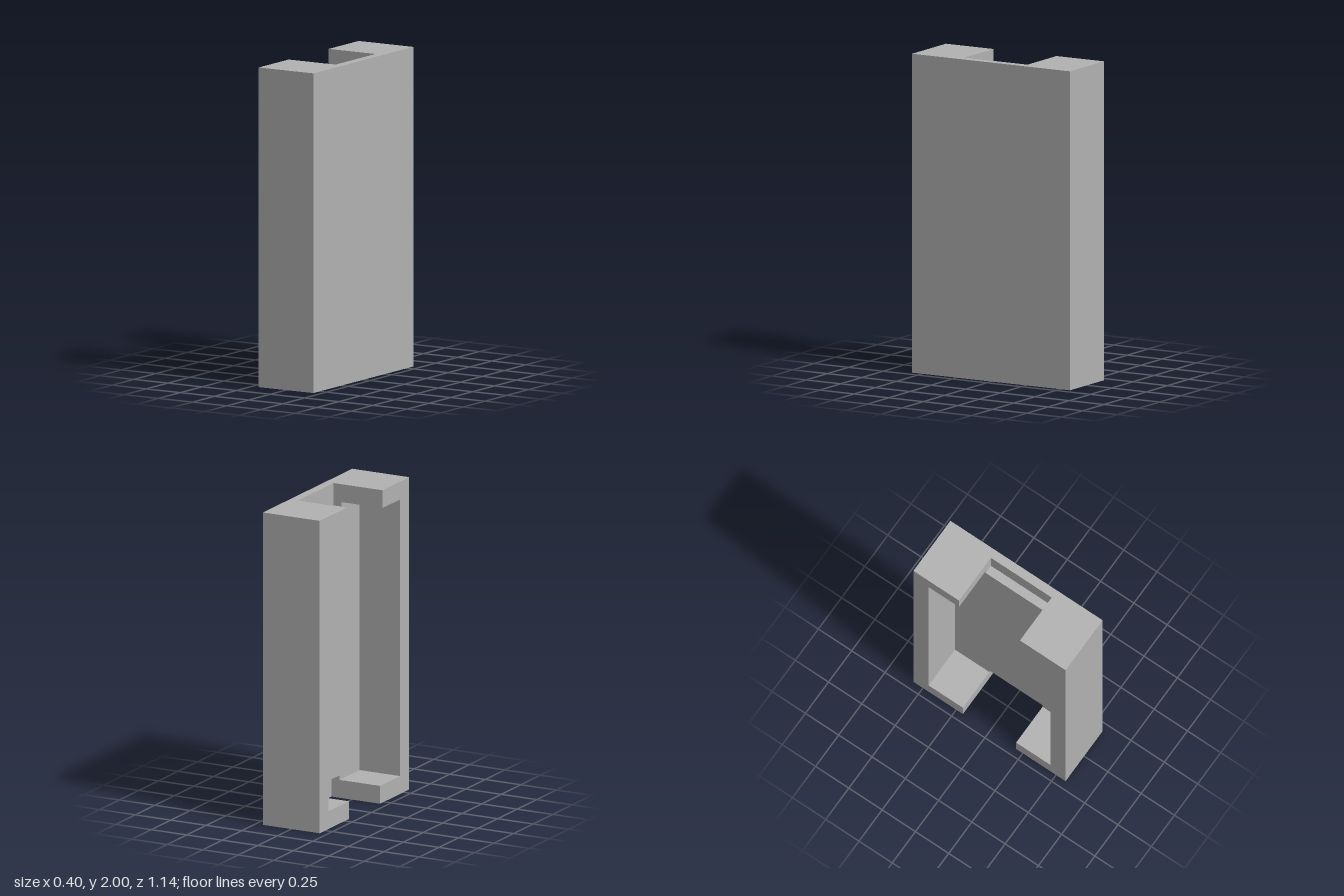
import * as THREE from 'three';

// Everything sits on a module of 1/35 of the height
const U = 2 / 35;
const HALF_Z = 10 * U, HEIGHT = 35 * U, X0 = -3.5 * U;
const WALL = 2 * U, TOP_HALF = 4 * U, BOTTOM_HALF = 3.5 * U;

export function createModel() {
  const group = new THREE.Group();
  const grey = new THREE.MeshStandardMaterial({ color: 0xb2b2b2 });
  grey.name = 'plain grey';

  // Extrude a (z, y) outline along x, from x0 to x1
  function layer(name, points, x0, x1) {
    const shape = new THREE.Shape(points.map(([z, y]) => new THREE.Vector2(-z, y)));
    const geometry = new THREE.ExtrudeGeometry(shape, { depth: x1 - x0, bevelEnabled: false });
    geometry.rotateY(Math.PI / 2).translate(x0, 0, 0);
    const mesh = new THREE.Mesh(geometry, grey);
    mesh.name = name;
    group.add(mesh);
  }

  // Solid outer panel
  layer('backPanel', [
    [-HALF_Z, 0], [HALF_Z, 0], [HALF_Z, HEIGHT], [-HALF_Z, HEIGHT],
  ], 2.5 * U, 3.5 * U);

  // Inner half of the panel, notched at top and bottom
  const cut = 2.5 * U;
  layer('notchedPanel', [
    [-HALF_Z, 0], [-BOTTOM_HALF, 0], [-BOTTOM_HALF, cut], [BOTTOM_HALF, cut],
    [BOTTOM_HALF, 0], [HALF_Z, 0], [HALF_Z, HEIGHT], [TOP_HALF, HEIGHT],
    [TOP_HALF, HEIGHT - cut], [-TOP_HALF, HEIGHT - cut], [-TOP_HALF, HEIGHT], [-HALF_Z, HEIGHT],
  ], 1.5 * U, 2.5 * U);

  // C-shaped rims around the open cavity, mirrored in z
  for (const [name, s] of [['frontRim', 1], ['rearRim', -1]]) {
    const inner = HALF_Z - WALL;
    layer(name, [
      [BOTTOM_HALF, 0], [HALF_Z, 0], [HALF_Z, HEIGHT], [TOP_HALF, HEIGHT],
      [TOP_HALF, HEIGHT - WALL], [inner, HEIGHT - WALL], [inner, WALL], [BOTTOM_HALF, WALL],
    ].map(([z, y]) => [s * z, y]), X0, 1.5 * U);
  }

  return group;
}
